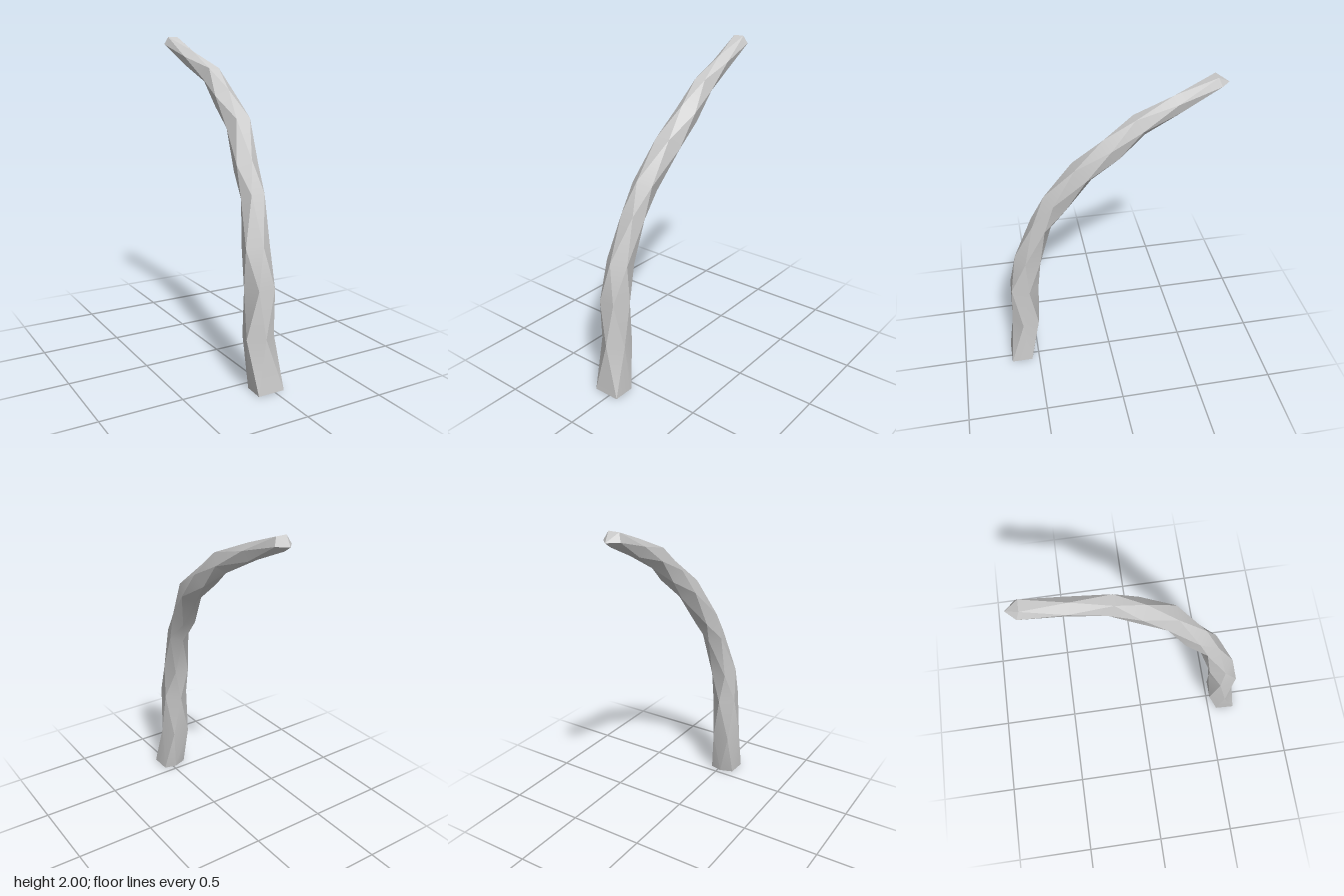
import * as THREE from 'three';
import { toCreasedNormals } from 'three/addons/utils/BufferGeometryUtils.js';

const SIDES = 5;

// Stations along the branch: [y, z, half thickness, min x, max x]
const STATIONS = [
  [0.31, 0.567, 0.085, -0.135, 0.05],
  [0.60, 0.55, 0.09, -0.12, 0.05],
  [0.83, 0.52, 0.08, -0.115, 0.045],
  [1.10, 0.42, 0.063, -0.07, 0.07],
  [1.27, 0.333, 0.075, -0.065, 0.08],
  [1.48, 0.167, 0.072, -0.02, 0.13],
  [1.635, 0, 0.068, -0.015, 0.13],
  [1.755, -0.167, 0.064, 0, 0.11],
  [1.865, -0.385, 0.05, -0.025, 0.08],
  [1.962, -0.625, 0.041, -0.05, 0.06],
];

// Squarish foot outline on the ground: [x, z]
const FOOT = [[0.06, 0.685], [-0.11, 0.685], [-0.105, 0.56], [-0.02, 0.53], [0.06, 0.55]];

// Polygon turned by an angle and stretched to fill the square -1..1
function unitPolygon(turn) {
  const pts = Array.from({ length: SIDES }, (_, j) => {
    const a = turn + (j * 2 * Math.PI) / SIDES;
    return [Math.cos(a), Math.sin(a)];
  });
  const fit = (k) => {
    const v = pts.map((p) => p[k]);
    const lo = Math.min(...v), hi = Math.max(...v);
    return v.map((t) => (2 * (t - lo)) / (hi - lo) - 1);
  };
  const xs = fit(0), ys = fit(1);
  return pts.map((_, j) => [xs[j], ys[j]]);
}

function branchGeometry() {
  const rings = [FOOT.map(([x, z]) => [x, 0, z])];

  // Each ring lies square to the path and is turned half a side from the last
  STATIONS.forEach(([y, z, r, x0, x1], i) => {
    const prev = STATIONS[i - 1] ?? [0, 0.607];
    const next = STATIONS[i + 1] ?? STATIONS[i];
    const t = new THREE.Vector2(next[0] - prev[0], next[1] - prev[1]).normalize();
    const turn = Math.PI * 0.3 + ((i + 1) * Math.PI) / SIDES;
    rings.push(unitPolygon(turn).map(([u, v]) => [
      (x0 + x1) / 2 + (u * (x1 - x0)) / 2,
      y - v * r * t.y,
      z + v * r * t.x,
    ]));
  });

  const pos = [];
  const tri = (...corners) => corners.forEach((c) => pos.push(...c));
  for (let i = 0; i < rings.length - 1; i++) {
    for (let j = 0; j < SIDES; j++) {
      const k = (j + 1) % SIDES;
      tri(rings[i][j], rings[i + 1][j], rings[i][k]);
      tri(rings[i][k], rings[i + 1][j], rings[i + 1][k]);
    }
  }

  // Blunt tip
  const last = rings[rings.length - 1];
  const apex = [0.005, 1.955, -0.685];
  for (let j = 0; j < SIDES; j++) tri(last[j], apex, last[(j + 1) % SIDES]);

  const geo = new THREE.BufferGeometry();
  geo.setAttribute('position', new THREE.Float32BufferAttribute(pos, 3));
  return toCreasedNormals(geo, THREE.MathUtils.degToRad(30));
}

export function createModel() {
  const group = new THREE.Group();
  group.name = 'curvedBranch';
  // Open at the foot, so both sides show
  const material = new THREE.MeshStandardMaterial({ color: 0xcccccc, side: THREE.DoubleSide });
  const branch = new THREE.Mesh(branchGeometry(), material);
  branch.name = 'branch';
  group.add(branch);
  return group;
}
